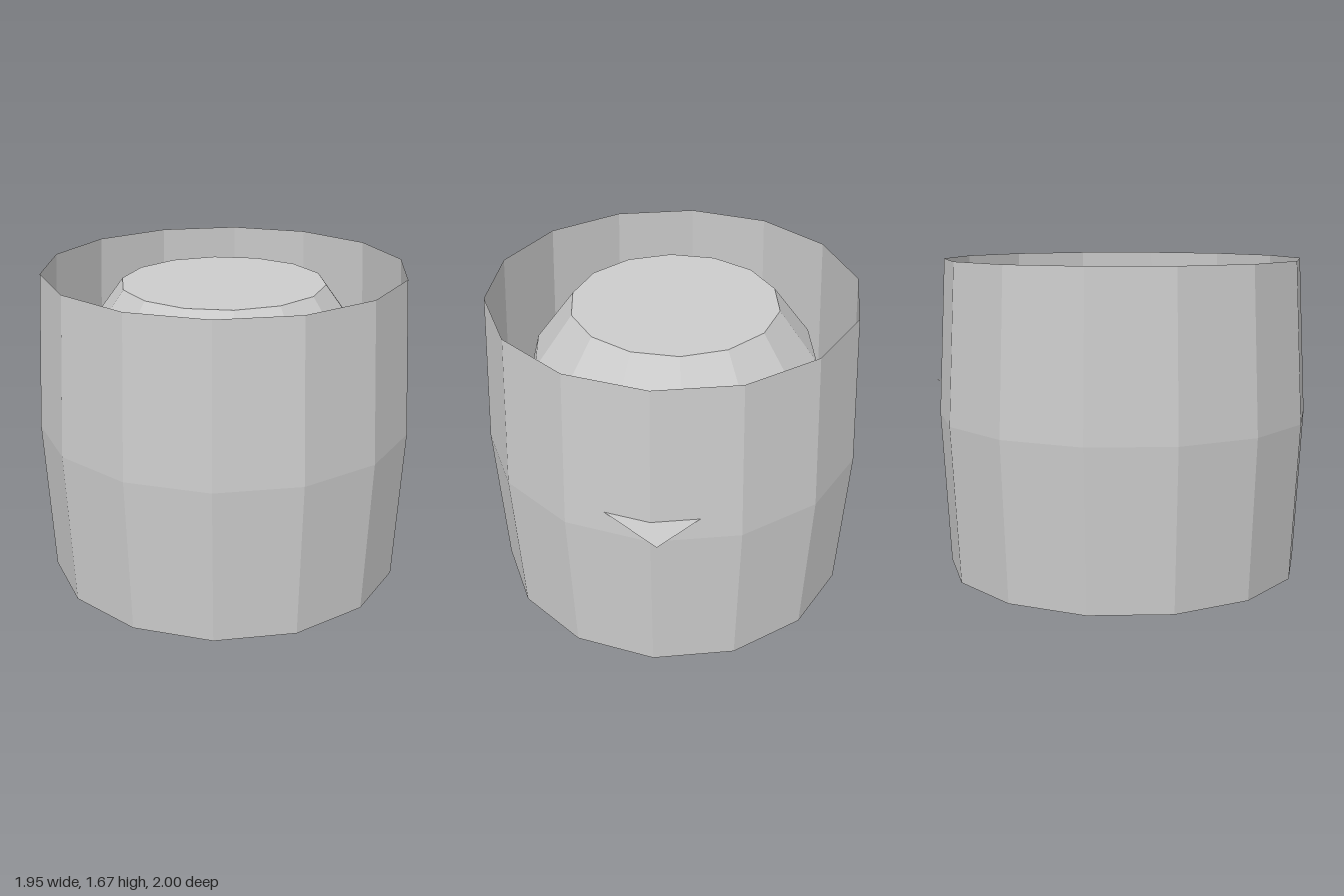
import * as THREE from 'three';

const SIDES = 14;

export function createModel() {
  const group = new THREE.Group();
  const grey = new THREE.MeshStandardMaterial({ color: 0xcccccc, flatShading: true, side: THREE.DoubleSide });
  grey.name = 'plain grey';

  // Faceted ring or body from a radius/height profile, listed bottom to top
  function turned(name, profile, sides = SIDES, turn = 0) {
    const points = profile.map(([r, y]) => new THREE.Vector2(r, y));
    const mesh = new THREE.Mesh(new THREE.LatheGeometry(points, sides, turn), grey);
    mesh.name = name;
    group.add(mesh);
    return mesh;
  }

  // Outer sleeve, open at both ends and slightly bulged
  turned('outerShell', [[0.957, 0], [1, 0.835], [0.957, 1.67]]);

  // Domed inner body with a flat top and open bottom, turned a little
  const body = turned('innerBody',
    [[0.84, 0.17], [0.855, 0.88], [0.745, 1.31], [0.54, 1.59], [0, 1.59]], SIDES, 0.155);
  body.position.x = -0.008;

  // Liner ring inside the body
  turned('innerLiner', [[0.72, 0.74], [0.72, 1.15]]);

  // Small collar standing on the side plate
  const collar = turned('sideCollar', [[0.33, 0.95], [0.31, 1.12]], 12, Math.PI / 12);
  collar.position.set(0.51, 0, -0.34);

  // Flat square plate whose corner pokes through the shell
  const plate = new THREE.Mesh(new THREE.PlaneGeometry(0.87, 0.87), grey);
  plate.name = 'sidePlate';
  plate.rotation.x = -Math.PI / 2;
  plate.position.set(0.445, 0.95, -0.335);
  group.add(plate);

  return group;
}
